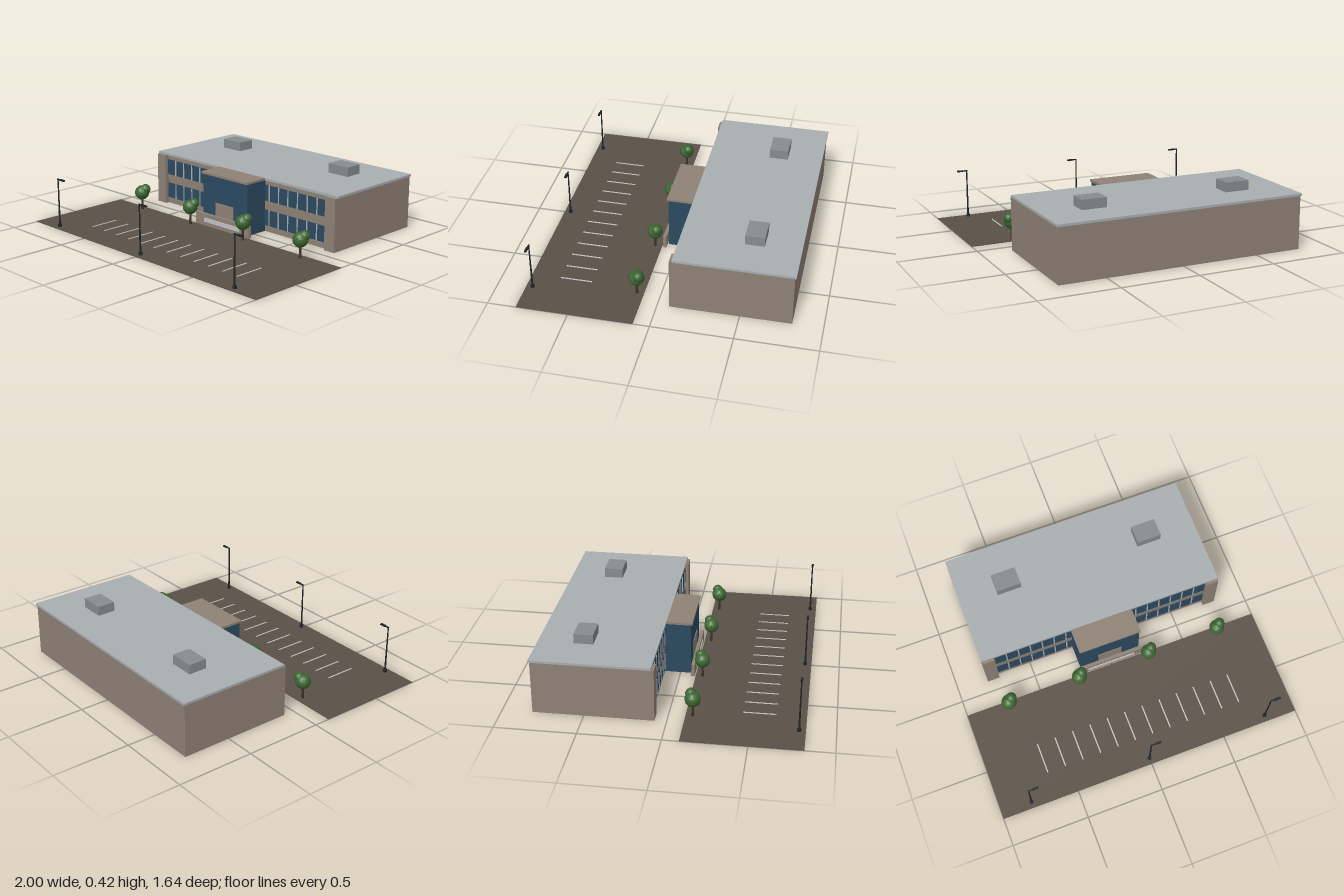
import * as THREE from 'three';

const paint = (name, hex, flat = false) => {
  const m = new THREE.MeshStandardMaterial({ color: hex, flatShading: flat });
  m.name = name;
  return m;
};

export function createModel() {
  const model = new THREE.Group();
  model.name = 'officeBuilding';
  const wall = paint('tanWall', 0x8f8276);
  const glass = paint('blueGlass', 0x2b4a60);
  const roofGrey = paint('roofGrey', 0xa9aeb1);
  const unitGrey = paint('unitGrey', 0x868c8f);
  const asphalt = paint('asphalt', 0x5a5047);
  const white = paint('paleMarking', 0xc4c3c4);
  const metal = paint('darkMetal', 0x1e2428);
  const bark = paint('bark', 0x41342a);
  const leaves = paint('leaves', 0x3b6630, true);

  // Box given by its limits on each axis
  const box = (name, mat, [x0, x1], [y0, y1], [z0, z1], parent = model) => {
    const mesh = new THREE.Mesh(new THREE.BoxGeometry(x1 - x0, y1 - y0, z1 - z0), mat);
    mesh.position.set((x0 + x1) / 2, (y0 + y1) / 2, (z0 + z1) / 2);
    mesh.name = name;
    parent.add(mesh);
    return mesh;
  };
  const add = (name, geo, mat, x, y, z, parent) => {
    const mesh = new THREE.Mesh(geo, mat);
    mesh.position.set(x, y, z);
    mesh.name = name;
    parent.add(mesh);
    return mesh;
  };

  // Main block and roof
  box('mainBlock', wall, [-0.8, 0.8], [0, 0.34], [-0.814, -0.1]);
  box('roofSlab', roofGrey, [-0.805, 0.805], [0.34, 0.355], [-0.822, -0.09]);
  for (const s of [-1, 1]) {
    box('cornerPier', wall, [s * 0.76 - 0.04, s * 0.76 + 0.04], [0, 0.34], [-0.11, -0.073]);
    box('roofUnit', unitGrey, [s * 0.48 - 0.08, s * 0.48 + 0.08], [0.355, 0.416], [-0.6, -0.48]);
  }

  // Two window bands on each wing, divided by pale mullions
  for (const s of [-1, 1]) {
    for (const [y0, y1] of [[0.04, 0.145], [0.205, 0.31]]) {
      box('windowBand', glass, [s * 0.46 - 0.26, s * 0.46 + 0.26], [y0, y1], [-0.101, -0.096]);
      for (let i = 1; i <= 6; i++) {
        const x = s * (0.72 - i * 0.08);
        box('mullion', roofGrey, [x - 0.004, x + 0.004], [y0, y1], [-0.098, -0.092]);
      }
    }
  }

  // Glazed entrance with its cap, door panel and low front wall
  box('entranceGlass', glass, [-0.2, 0.2], [0, 0.34], [-0.1, 0.065]);
  box('entranceCap', wall, [-0.206, 0.206], [0.34, 0.354], [-0.09, 0.075]);
  box('doorPanel', wall, [-0.08, 0.08], [0, 0.165], [0.065, 0.07]);
  box('lowWall', wall, [-0.24, 0.24], [0, 0.08], [0.073, 0.095]);
  box('wallPlate', white, [-0.16, 0.16], [0.027, 0.055], [0.095, 0.1]);

  // Parking lot and bay lines
  box('parkingLot', asphalt, [-1, 1], [0, 0.004], [0.102, 0.822]);
  for (let i = 0; i < 12; i++) {
    const x = -0.64 + i * 0.12;
    box('bayLine', white, [x - 0.004, x + 0.004], [0.004, 0.007], [0.44, 0.64]);
  }

  // Trees: trunk with two overlapping low-poly crowns
  const trunkGeo = new THREE.CylinderGeometry(0.006, 0.009, 0.09, 8);
  const crownGeo = new THREE.IcosahedronGeometry(0.049, 2);
  const sideCrownGeo = new THREE.IcosahedronGeometry(0.034, 2);
  for (const x of [-0.72, -0.24, 0.24, 0.72]) {
    const tree = new THREE.Group();
    tree.name = 'tree';
    tree.position.set(x, 0, 0.145);
    add('trunk', trunkGeo, bark, 0, 0.045, 0, tree);
    add('crown', crownGeo, leaves, 0, 0.121, 0, tree);
    add('sideCrown', sideCrownGeo, leaves, 0.021, 0.146, -0.014, tree);
    model.add(tree);
  }

  // Lamp posts with an arm reaching sideways
  const baseGeo = new THREE.CylinderGeometry(0.012, 0.013, 0.018, 12);
  const poleGeo = new THREE.CylinderGeometry(0.004, 0.006, 0.32, 10);
  for (const x of [-0.8, 0, 0.8]) {
    const lamp = new THREE.Group();
    lamp.name = 'lampPost';
    lamp.position.set(x, 0, 0.782);
    add('lampBase', baseGeo, metal, 0, 0.012, 0, lamp);
    add('lampPole', poleGeo, metal, 0, 0.163, 0, lamp);
    box('lampArm', metal, [-0.004, 0.04], [0.318, 0.325], [-0.004, 0.004], lamp);
    box('lampHead', metal, [0.025, 0.064], [0.317, 0.326], [-0.007, 0.007], lamp);
    model.add(lamp);
  }

  return model;
}
